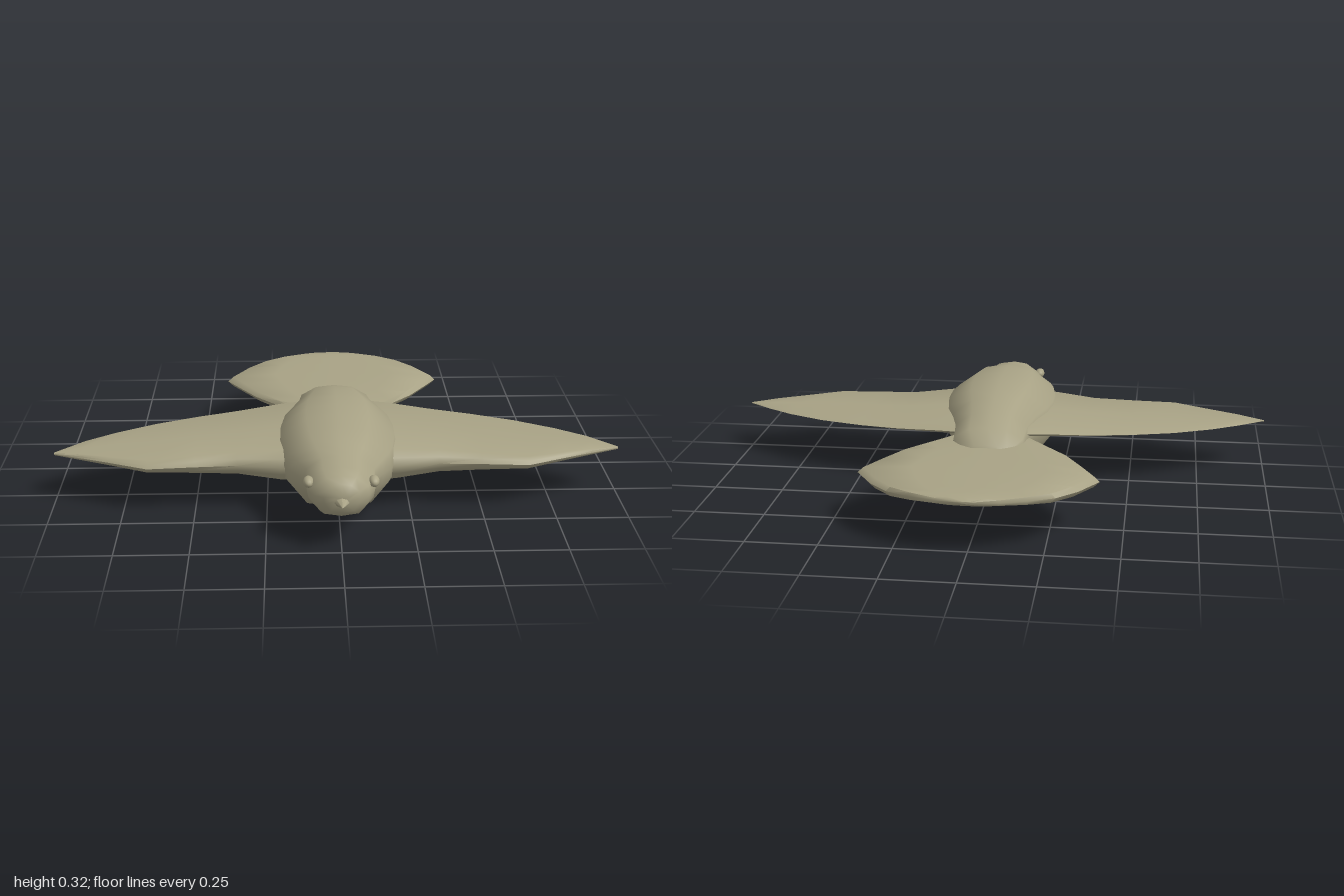
import * as THREE from 'three';
import { toCreasedNormals } from 'three/addons/utils/BufferGeometryUtils.js';

const material = new THREE.MeshStandardMaterial({ color: 0xa8a285 });

// Skin equal-length rings (counter-clockwise seen from the end of the loft) and cap both ends.
function loft(rings, crease = 0.9) {
  const n = rings[0].length, last = rings.length - 1;
  const pos = rings.flat(2), index = [];
  for (let i = 0; i < last; i++) {
    for (let j = 0; j < n; j++) {
      const a = i * n + j, b = i * n + (j + 1) % n;
      index.push(a, b, a + n, b, b + n, a + n);
    }
  }
  for (const i of [0, last]) {
    const centre = pos.length / 3;
    for (let k = 0; k < 3; k++) pos.push(rings[i].reduce((s, p) => s + p[k], 0) / n);
    for (let j = 0; j < n; j++) {
      const a = i * n + j, b = i * n + (j + 1) % n;
      if (i === 0) index.push(centre, b, a);
      else index.push(centre, a, b);
    }
  }
  const geometry = new THREE.BufferGeometry();
  geometry.setAttribute('position', new THREE.Float32BufferAttribute(pos, 3));
  geometry.setIndex(index);
  return toCreasedNormals(geometry, crease);
}

function part(name, geometry) {
  const mesh = new THREE.Mesh(geometry, material);
  mesh.name = name;
  return mesh;
}

// Head and trunk: z, half width, bottom, top
function createBody() {
  const stations = [
    [-0.285, 0.08, 0.125, 0.215], [-0.2, 0.13, 0.105, 0.255], [-0.1, 0.138, 0.08, 0.285],
    [0, 0.162, 0.055, 0.308], [0.1, 0.195, 0.03, 0.32], [0.2, 0.21, 0.005, 0.325],
    [0.3, 0.21, 0.016, 0.322], [0.4, 0.195, 0.028, 0.314], [0.46, 0.178, 0.04, 0.308],
    [0.52, 0.15, 0.07, 0.294], [0.58, 0.12, 0.096, 0.28], [0.65, 0.113, 0.102, 0.268],
    [0.7, 0.092, 0.115, 0.257], [0.73, 0.06, 0.14, 0.24], [0.742, 0.025, 0.17, 0.21],
  ];
  // Half section: width and height fractions from belly to back
  const half = [[0, 0], [0.62, 0.06], [0.95, 0.34], [1, 0.53], [0.95, 0.74], [0.52, 0.95], [0, 1]];
  const section = [...half, ...half.slice(1, -1).reverse().map(([u, v]) => [-u, v])];
  return loft(stations.map(([z, w, lo, hi], i) =>
    section.map(([u, v]) => [u * w, lo + v * (hi - lo), z - (i === 0 ? 0.025 * (0.6 - v) : 0)])), 1.1);
}

// Wing: x, leading z, trailing z, top, bottom
function createWing(side) {
  const stations = [
    [0.1, 0.43, -0.13, 0.235, 0.11], [0.2, 0.425, -0.11, 0.23, 0.115], [0.35, 0.4, -0.075, 0.215, 0.13],
    [0.5, 0.41, -0.035, 0.206, 0.14], [0.66, 0.425, 0.025, 0.197, 0.15], [0.8, 0.36, 0.1, 0.19, 0.157],
    [0.9, 0.315, 0.17, 0.185, 0.162], [1, 0.27, 0.262, 0.175, 0.168],
  ];
  // Chord fraction from the leading edge, height fraction
  const section = [[0.5, 1], [0.07, 0.95], [0.02, 0.75], [0, 0.5], [0.02, 0.25], [0.07, 0],
    [0.5, 0.35], [0.94, 0.68], [1, 0.82], [0.94, 0.96]];
  const rings = stations.map(([x, zl, zt, hi, lo]) =>
    section.map(([c, v]) => [side * x, lo + v * (hi - lo), zl + c * (zt - zl)]));
  return loft(side > 0 ? rings : rings.reverse());
}

// Fan tail: z, half width, underside, top
function createTail() {
  const stations = [
    [-0.785, 0.02, 0.185, 0.193], [-0.768, 0.11, 0.172, 0.202], [-0.73, 0.2, 0.162, 0.205],
    [-0.68, 0.28, 0.152, 0.205], [-0.6, 0.35, 0.145, 0.205], [-0.49, 0.415, 0.14, 0.205],
    [-0.4, 0.365, 0.146, 0.205], [-0.29, 0.3, 0.15, 0.205], [-0.2, 0.222, 0.15, 0.205],
    [-0.1, 0.145, 0.145, 0.202],
  ];
  const section = [[0, 0], [0.55, 0.05], [0.95, 0.2], [1, 0.5], [0.95, 0.8], [0.55, 0.95],
    [0, 1], [-0.55, 0.95], [-0.95, 0.8], [-1, 0.5], [-0.95, 0.2], [-0.55, 0.05]];
  return loft(stations.map(([z, w, lo, hi]) =>
    section.map(([u, v]) => [u * w, lo + v * (hi - lo), z])));
}

export function createModel() {
  const bird = new THREE.Group();
  bird.name = 'bird';
  bird.add(part('body', createBody()), part('tail', createTail()));

  // Short pointed beak
  const beak = part('beak', new THREE.ConeGeometry(1, 1, 8).rotateX(Math.PI / 2));
  beak.scale.set(0.036, 0.023, 0.065);
  beak.position.set(0, 0.18, 0.753);
  bird.add(beak);

  for (const side of [1, -1]) {
    const label = side > 0 ? 'left' : 'right';
    bird.add(part(label + 'Wing', createWing(side)));
    const eye = part(label + 'Eye', new THREE.SphereGeometry(1, 16, 12));
    eye.scale.set(0.018, 0.018, 0.029);
    eye.position.set(side * 0.108, 0.222, 0.662);
    bird.add(eye);
  }
  return bird;
}
